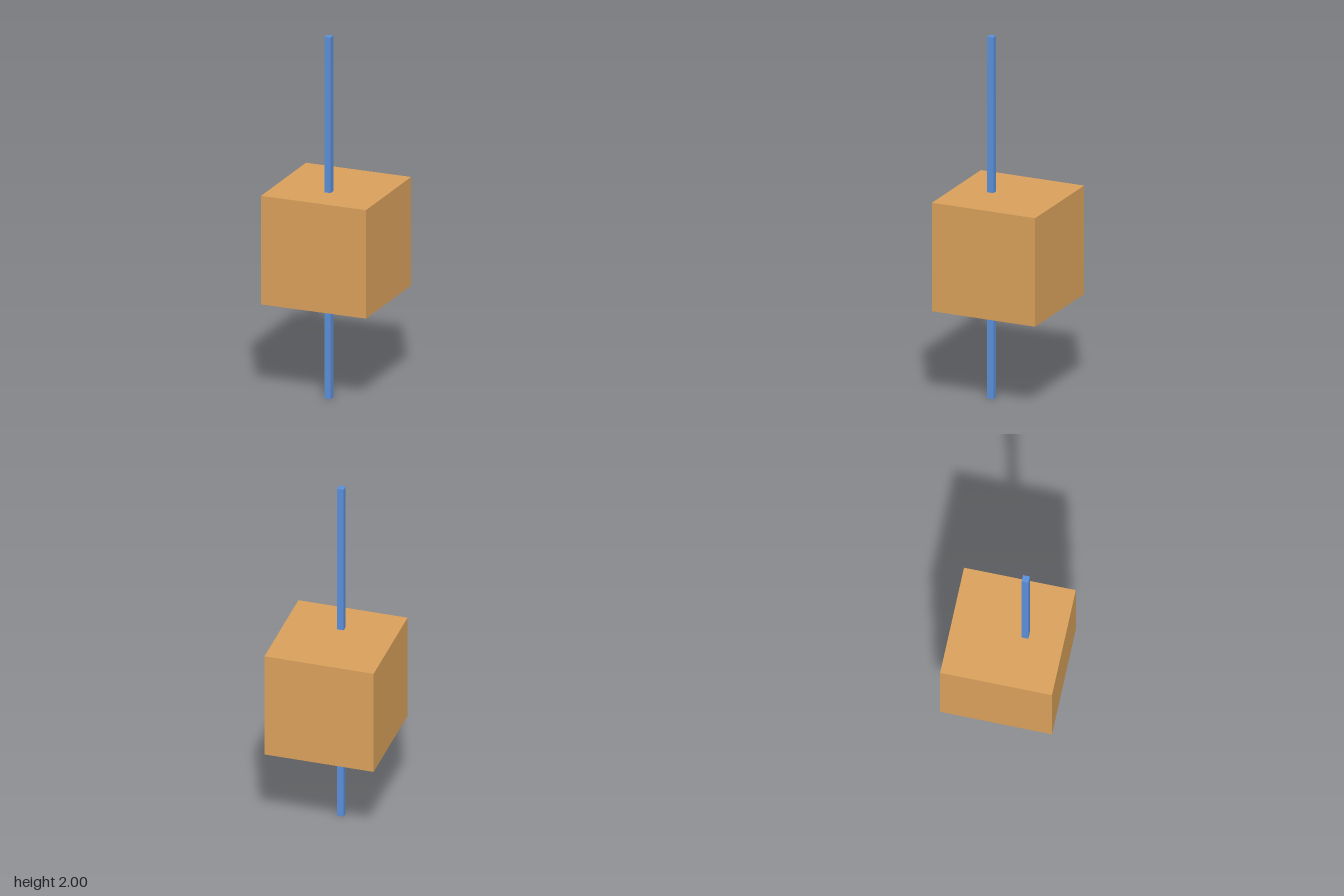
import * as THREE from 'three';

// Adds a named box whose centre is at (x, y, z)
function addBox(group, name, color, [w, h, d], [x, y, z]) {
  const material = new THREE.MeshStandardMaterial({ color });
  const mesh = new THREE.Mesh(new THREE.BoxGeometry(w, h, d), material);
  mesh.name = name;
  mesh.position.set(x, y, z);
  group.add(mesh);
}

export function createModel() {
  const model = new THREE.Group();
  model.name = 'blockOnRod';

  // Cube block
  addBox(model, 'block', 0xd9a05b, [0.6, 0.6, 0.6], [0, 0.84, 0]);

  // Thin square rod running through the block, forward of its centre
  addBox(model, 'rod', 0x5b8fd9, [0.036, 2, 0.036], [0, 1, 0.095]);

  return model;
}
